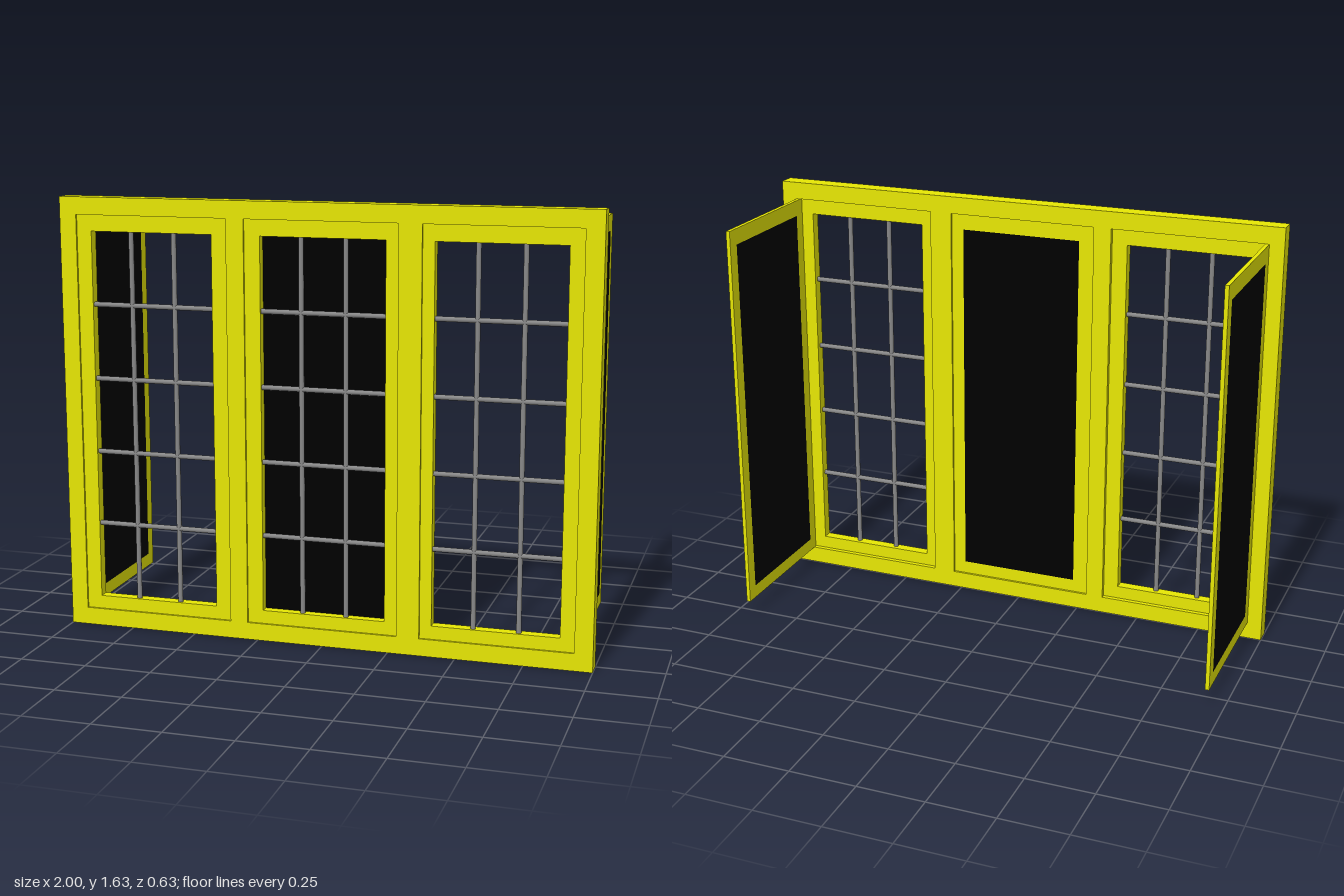
import * as THREE from 'three';

const yellow = new THREE.MeshStandardMaterial({ color: 0xe7e704 });
yellow.name = 'yellow paint';
const black = new THREE.MeshStandardMaterial({ color: 0x000000 });
black.name = 'black panel';
const grey = new THREE.MeshStandardMaterial({ color: 0x888888 });
grey.name = 'grey metal';

const HEIGHT = 1.63;
const BOTTOM = 0.065, TOP = 1.565;            // sash and shutter outer edges
const GLASS_BOTTOM = 0.115, GLASS_TOP = 1.505;
const GLASS_HEIGHT = GLASS_TOP - GLASS_BOTTOM;

// Outer edges and glass edges of each window along x
const WINDOWS = [
  { outer: [-0.936, -0.355], glass: [-0.88, -0.413] },
  { outer: [-0.288, 0.283], glass: [-0.229, 0.236] },
  { outer: [0.368, 0.933], glass: [0.412, 0.88] },
];

const outline = ([x0, x1]) => [x0, BOTTOM, x1, TOP];
const opening = ([x0, x1]) => [x0, GLASS_BOTTOM, x1, GLASS_TOP];

function rectangle(Type, x0, y0, x1, y1) {
  const r = new Type();
  r.moveTo(x0, y0);
  r.lineTo(x1, y0);
  r.lineTo(x1, y1);
  r.lineTo(x0, y1);
  r.closePath();
  return r;
}

// Flat board with rectangular holes, its back at z
function board(name, outer, holes, z, depth) {
  const shape = rectangle(THREE.Shape, ...outer);
  for (const h of holes) shape.holes.push(rectangle(THREE.Path, ...h));
  const geometry = new THREE.ExtrudeGeometry(shape, { depth, bevelEnabled: false });
  const mesh = new THREE.Mesh(geometry, yellow);
  mesh.name = name;
  mesh.position.z = z;
  return mesh;
}

// Thin round glazing bar
function bar(name, length, x, y, horizontal) {
  const mesh = new THREE.Mesh(new THREE.CylinderGeometry(0.0095, 0.0095, length, 12), grey);
  mesh.name = name;
  if (horizontal) mesh.rotation.z = Math.PI / 2;
  mesh.position.set(x, y, 0.291);
  return mesh;
}

// Fixed window: border and a grid of three by five panes
function makeWindow({ outer, glass }) {
  const window = new THREE.Group();
  window.name = 'window';
  window.add(board('sash', outline(outer), [opening(glass)], 0.267, 0.04));
  const cx = (glass[0] + glass[1]) / 2;
  for (const side of [-1, 1]) {
    window.add(bar('verticalBar', GLASS_HEIGHT, cx + side * 0.083, GLASS_BOTTOM + GLASS_HEIGHT / 2, false));
  }
  for (let i = 1; i < 5; i++) {
    const y = GLASS_BOTTOM + (GLASS_HEIGHT * i) / 5 + 0.007;
    window.add(bar('horizontalBar', glass[1] - glass[0], cx, y, true));
  }
  return window;
}

// Shutter lying in the xy plane, its thickness centred on z = 0
function makeShutter(name, { outer, glass }) {
  const shutter = new THREE.Group();
  shutter.name = name;
  shutter.add(board('shutterBorder', outline(outer), [opening(glass)], -0.0075, 0.015));
  const panel = new THREE.Mesh(new THREE.BoxGeometry(glass[1] - glass[0], GLASS_HEIGHT, 0.015), black);
  panel.name = 'shutterPanel';
  panel.position.set((glass[0] + glass[1]) / 2, GLASS_BOTTOM + GLASS_HEIGHT / 2, 0);
  shutter.add(panel);
  return shutter;
}

export function createModel() {
  const model = new THREE.Group();
  model.name = 'shutteredWindow';

  // Main frame with three openings
  const holes = WINDOWS.map((w) => outline(w.outer));
  model.add(board('mainFrame', [-1, 0, 1, HEIGHT], holes, 0.249, 0.066));

  for (const w of WINDOWS) model.add(makeWindow(w));

  // Closed middle shutter, recessed in the back of the frame
  const middle = makeShutter('middleShutter', WINDOWS[1]);
  middle.position.z = 0.2655;
  model.add(middle);

  // Outer shutters swung open to the back
  const openSize = { outer: [-0.2815, 0.2815], glass: [-0.235, 0.235] };
  for (const [name, x, z] of [['leftShutter', 0.932, -0.02], ['rightShutter', -0.937, -0.033]]) {
    const shutter = makeShutter(name, openSize);
    shutter.rotation.y = Math.PI / 2;
    shutter.position.set(x, 0, z);
    model.add(shutter);
  }

  return model;
}
